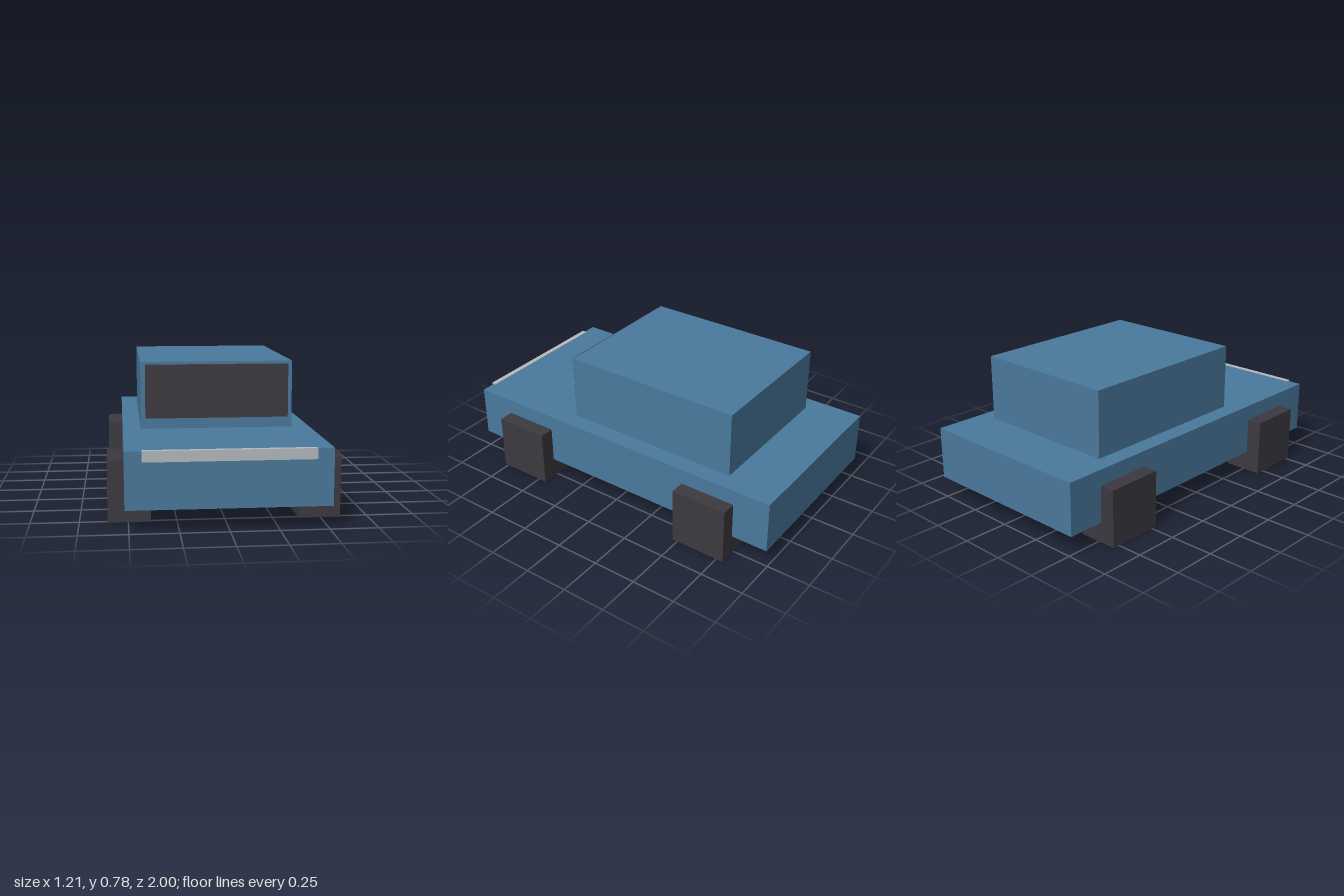
import * as THREE from 'three';

export function createModel() {
  const group = new THREE.Group();
  group.name = 'car';

  const paint = new THREE.MeshStandardMaterial({ color: 0x4a7a9e });
  const dark = new THREE.MeshStandardMaterial({ color: 0x3c3a40 });
  const trim = new THREE.MeshStandardMaterial({ color: 0xb4bcc0 });

  // Box given by its extents along each axis
  function addBox(name, material, [x0, x1], [y0, y1], [z0, z1]) {
    const mesh = new THREE.Mesh(new THREE.BoxGeometry(x1 - x0, y1 - y0, z1 - z0), material);
    mesh.position.set((x0 + x1) / 2, (y0 + y1) / 2, (z0 + z1) / 2);
    mesh.name = name;
    group.add(mesh);
  }

  // Body and cabin
  addBox('body', paint, [-0.52, 0.52], [0.115, 0.41], [-1, 0.985]);
  addBox('cabin', paint, [-0.42, 0.42], [0.41, 0.78], [-0.7, 0.34]);

  // Windscreen and front trim strip
  addBox('windscreen', dark, [-0.395, 0.395], [0.47, 0.765], [0.33, 0.363]);
  addBox('frontStrip', trim, [-0.433, 0.433], [0.357, 0.413], [0.97, 1]);

  // Block wheels, mirrored left and right
  const axles = { front: [0.45, 0.77], rear: [-0.79, -0.467] };
  for (const [end, z] of Object.entries(axles)) {
    addBox(`${end}LeftWheel`, dark, [0.383, 0.605], [0, 0.322], z);
    addBox(`${end}RightWheel`, dark, [-0.605, -0.383], [0, 0.322], z);
  }

  return group;
}
